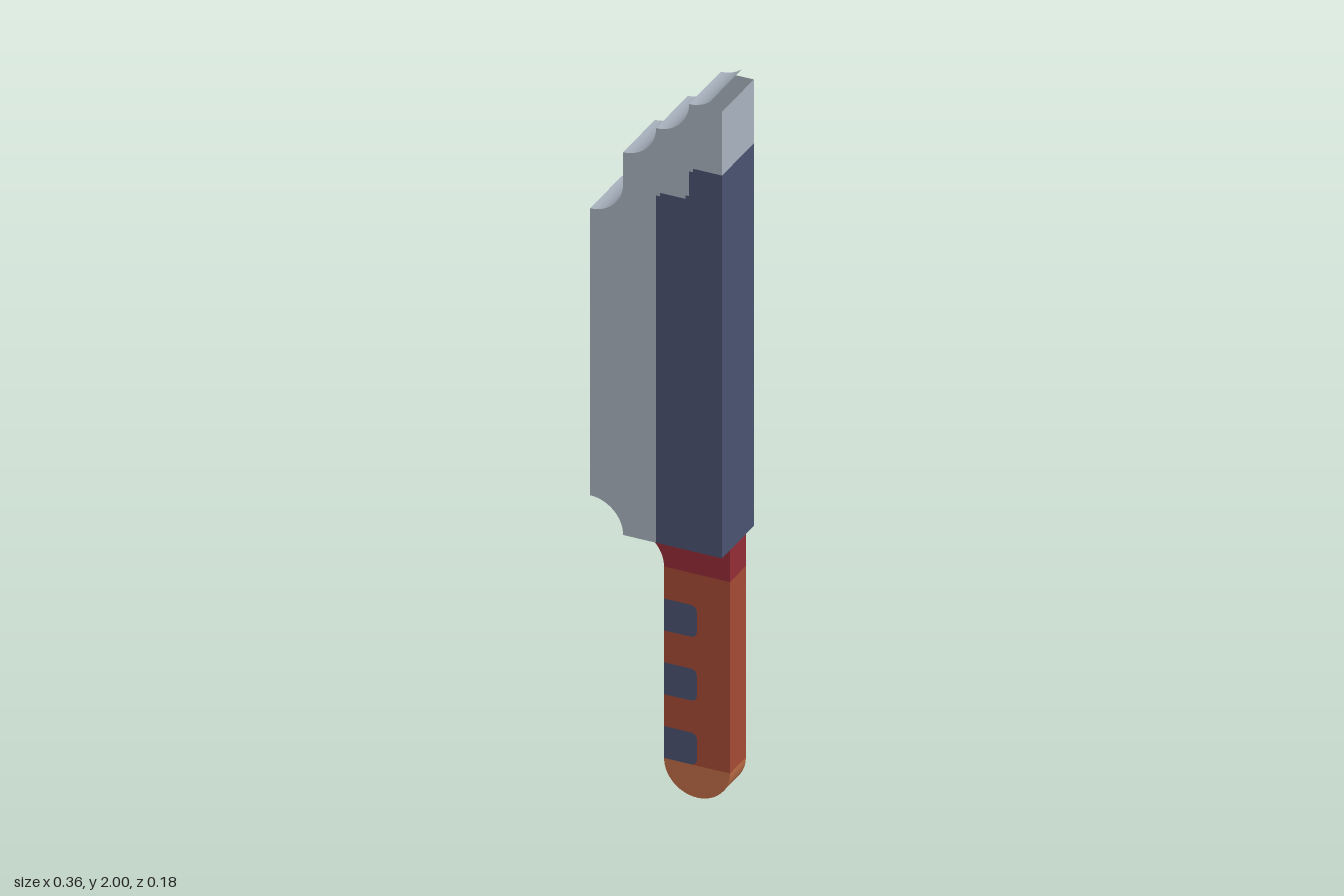
import * as THREE from 'three';

const U = 0.09; // grid unit: arc radius and half thickness of the blade
const BLADE = U, GRIP = U / 2; // half thicknesses

export function createModel() {
  const group = new THREE.Group();
  const mat = (name, color) => {
    const m = new THREE.MeshStandardMaterial({ color, side: THREE.DoubleSide });
    m.name = name;
    return m;
  };
  const steel = mat('steel', 0xa9b3bf);
  const navy = mat('navy', 0x4a5270);
  const red = mat('guardRed', 0x932c35);
  const rust = mat('gripRust', 0xa54a35);
  const orange = mat('pommelOrange', 0xbc6c45);

  const add = (name, geometry, material) => {
    const mesh = new THREE.Mesh(geometry, material);
    mesh.name = name;
    group.add(mesh);
  };

  // Points along an arc of one unit radius
  const arc = (cx, cy, from, to, n = 14) => Array.from({ length: n + 1 }, (_, i) => {
    const a = from + (to - from) * i / n;
    return [cx + U * Math.cos(a), cy + U * Math.sin(a)];
  });

  // Matching flat faces at the front and back
  const faces = (name, pts, z, material) => {
    const front = new THREE.ShapeGeometry(new THREE.Shape(pts.map(p => new THREE.Vector2(...p))));
    const back = front.clone();
    back.setIndex(Array.from(front.index.array).reverse());
    back.computeVertexNormals();
    add(name + 'Front', front.translate(0, 0, z), material);
    add(name + 'Back', back.translate(0, 0, -z), material);
  };

  // Edge wall following a path counterclockwise around the outline
  const wall = (name, pts, z, material) => {
    const pos = [], idx = [];
    pts.forEach(([x, y], i) => {
      pos.push(x, y, z, x, y, -z);
      const a = i * 2;
      if (i < pts.length - 1) idx.push(a, a + 1, a + 3, a, a + 3, a + 2);
    });
    const g = new THREE.BufferGeometry();
    g.setAttribute('position', new THREE.Float32BufferAttribute(pos, 3));
    g.setIndex(idx);
    g.computeVertexNormals();
    add(name, g, material);
  };

  const Q = Math.PI / 2;
  // Blade outline: three scallops at the tip, one at the heel
  const scallops = [[0, 1.98], [-U, 1.89], [-2 * U, 1.71]].map(([x, y]) => arc(x, y, 0, -Q));
  const heel = arc(-2 * U, 0.72, Q, 0);
  const step = [[0.18, 1.8], [0.1, 1.8], [0.1, 1.79], [0.09, 1.79], [0.09, 1.72],
    [0.08, 1.72], [0.08, 1.71], [0.01, 1.71], [0.01, 1.7], [0, 1.7]];

  faces('bladeSteel', [[0.18, 1.98], ...scallops.flat(), ...heel, [0, 0.72], ...step.slice().reverse()], BLADE, steel);
  faces('bladeSpine', [[0, 0.72], [0.18, 0.72], ...step], BLADE, navy);
  wall('spineEdge', [[0.18, 0.72], [0.18, 1.8]], BLADE, navy);
  wall('spineTip', [[0.18, 1.8], [0.18, 1.98]], BLADE, steel);
  wall('tipFlap', arc(U, 2.07, -0.89, -Q, 8), BLADE, steel);
  scallops.forEach((pts, i) => wall('scallop' + (i + 1), pts, BLADE, steel));
  wall('notchEdge', [[-U, 1.8], [-U, 1.71]], BLADE, steel);
  wall('cuttingEdge', [[-0.18, 1.62], [-0.18, 0.81]], BLADE, steel);
  wall('heelScallop', heel, BLADE, steel);

  // Blade underside on either side of the guard
  for (const side of [1, -1]) {
    for (const [x0, x1, m] of [[-U, 0, steel], [0, 0.18, navy]]) {
      const g = new THREE.PlaneGeometry(x1 - x0, U / 2).rotateX(Q);
      add('bladeUnderside', g.translate((x0 + x1) / 2, 0.72, side * 0.75 * U), m);
    }
  }

  // Guard
  const guardArc = arc(-U, 0.63, Q, 0);
  faces('guard', [[0.18, 0.63], [0.18, 0.72], ...guardArc], GRIP, red);
  wall('guardCurve', guardArc, GRIP, red);
  wall('guardSpine', [[0.18, 0.63], [0.18, 0.72]], GRIP, red);

  // Grip with three inlays let into its left edge
  const comb = [[0.18, 0.09], [0.18, 0.63], [0, 0.63]];
  for (const y of [0.45, 0.27, 0.09]) {
    const top = y + U;
    const inlay = [[0, top], [0.075, top], [0.086, top - 0.005], [0.09, top - 0.016],
      [0.09, y + 0.016], [0.086, y + 0.005], [0.075, y], [0, y]];
    comb.push(...inlay);
    faces('gripInlay', inlay.slice().reverse(), GRIP, navy);
    wall('gripInlayEdge', [[0, top], [0, y]], GRIP, navy);
    wall('gripEdge', [[0, top + U], [0, top]], GRIP, rust);
  }
  comb.pop(); // the lowest inlay ends on the pommel line
  faces('grip', comb, GRIP, rust);
  wall('gripSpine', [[0.18, 0.09], [0.18, 0.63]], GRIP, rust);

  // Rounded pommel
  const pommel = arc(U, U, Math.PI, 2 * Math.PI, 28);
  faces('pommel', pommel, GRIP, orange);
  wall('pommelCurve', pommel, GRIP, orange);

  return group;
}
